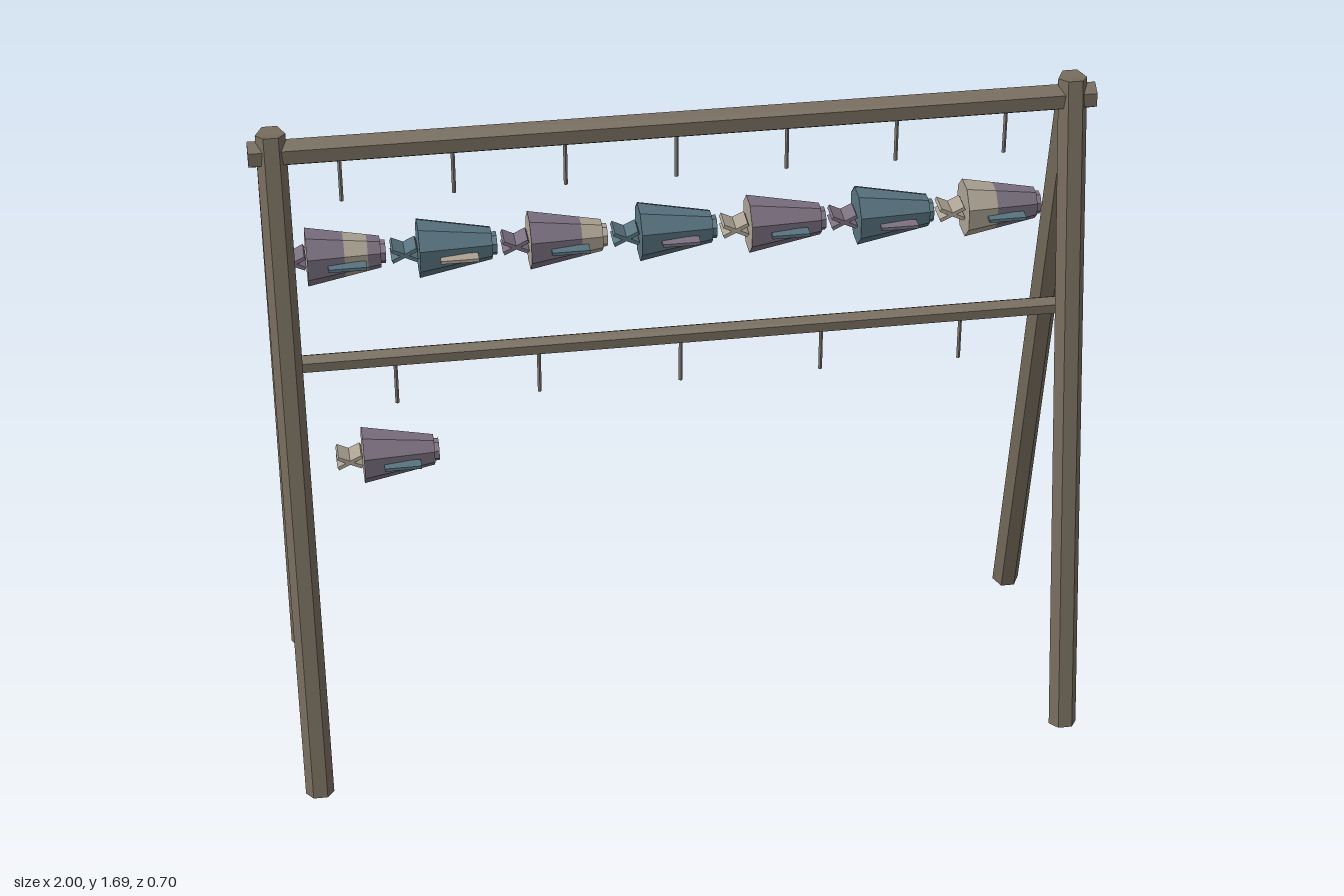
import * as THREE from 'three';

const mat = (name, color, extra = {}) => {
  const m = new THREE.MeshStandardMaterial({ color, flatShading: true, ...extra });
  m.name = name;
  return m;
};

export function createModel() {
  const wood = mat('weathered wood', 0x766c5d);
  const cord = mat('cord', 0x827b73);
  const purple = mat('dusky purple', 0x7b7080);
  const teal = mat('slate teal', 0x58737f);
  const paleBlue = mat('pale blue', 0x9db5bf, { side: THREE.DoubleSide });
  const beige = mat('pale beige', 0xaba293);

  const rack = new THREE.Group();
  rack.name = 'dryingRack';

  const add = (parent, name, geo, material, x = 0, y = 0, z = 0) => {
    const m = new THREE.Mesh(geo, material);
    m.name = name;
    m.position.set(x, y, z);
    parent.add(m);
    return m;
  };

  // Hexagonal legs with a ridge facing outward, crossing in pairs at the top
  const spread = 0.319, rise = 1.68;
  const legGeo = new THREE.CylinderGeometry(0.035, 0.035, Math.hypot(spread, rise), 6).rotateY(Math.PI / 6);
  for (const x of [-0.945, 0.945]) {
    for (const s of [-1, 1]) {
      const leg = add(rack, 'leg', legGeo, wood, x, 0.006 + rise / 2, s * spread / 2);
      leg.rotation.x = -s * Math.atan2(spread, rise);
    }
  }

  // Horizontal poles with a corner pointing up
  const pole = (name, r, length, y) => {
    const g = new THREE.CylinderGeometry(r, r, length, 6).rotateY(Math.PI / 6).rotateZ(Math.PI / 2);
    add(rack, name, g, wood, 0, y, 0);
  };
  pole('topPole', 0.034, 2, 1.638);
  pole('lowerPole', 0.024, 1.9, 1.06);

  // Hanging cords
  const hang = (x, low, high) =>
    add(rack, 'cord', new THREE.CylinderGeometry(0.005, 0.005, high - low, 5), cord, x, (low + high) / 2, 0);

  // Tapered eight-sided frustum along x, wide at the tail side
  const BACK = -0.093, FRONT = 0.081;
  const radiusAt = x => THREE.MathUtils.lerp(0.07, 0.038, (x - BACK) / (FRONT - BACK));
  const section = (x0, x1) =>
    new THREE.CylinderGeometry(radiusAt(x1), radiusAt(x0), x1 - x0, 8)
      .rotateY(Math.PI / 8).rotateZ(-Math.PI / 2).translate((x0 + x1) / 2, 0, 0);

  // Thin facing over the upper back side of a body
  const panelGeo = new THREE.CylinderGeometry(
    radiusAt(FRONT) + 0.002, radiusAt(BACK) + 0.002, FRONT - BACK, 1, 1, true, Math.PI * 9 / 8, Math.PI / 4
  ).rotateZ(-Math.PI / 2).translate((BACK + FRONT) / 2, 0, 0);

  // A fish: body sections, snout, side fin and crossed tail
  const addFish = (x, y, { cuts, tail, fin, rump, back }) => {
    const fish = new THREE.Group();
    fish.name = 'fish';
    fish.position.set(x, y, 0);
    rack.add(fish);
    let start = BACK;
    for (const [end, material] of cuts) {
      add(fish, 'body', section(start, end), [material, material, rump]);
      start = end;
    }
    if (back) add(fish, 'backPanel', panelGeo, back);
    const snout = new THREE.CylinderGeometry(0.028, 0.028, 0.014, 8).rotateY(Math.PI / 8).rotateZ(-Math.PI / 2);
    add(fish, 'snout', snout, [cuts[cuts.length - 1][1], beige, beige], FRONT + 0.005);
    add(fish, 'sideFin', new THREE.BoxGeometry(0.09, 0.008, 0.03), fin, 0, 0, 0.06);
    for (const s of [-1, 1]) {
      const t = add(fish, 'tailFin', new THREE.BoxGeometry(0.066, 0.009, 0.06), tail, BACK - 0.033);
      t.rotation.z = s * 0.46;
    }
  };

  const tealFish = (tail, fin) => ({ cuts: [[FRONT, teal]], tail, fin, rump: teal, back: paleBlue });
  const purpleFish = (cuts, tail) => ({ cuts, tail, fin: teal, rump: beige });
  const upper = [
    purpleFish([[-0.005, purple], [0.05, beige], [FRONT, purple]], purple),
    tealFish(teal, beige),
    purpleFish([[0.03, purple], [FRONT, beige]], purple),
    tealFish(teal, purple),
    purpleFish([[FRONT, purple]], beige),
    tealFish(purple, purple),
    purpleFish([[-0.02, beige], [FRONT, purple]], beige),
  ];
  upper.forEach((spec, i) => {
    const x = (i - 3) * 0.263;
    hang(x - 0.002, 1.5, 1.62);
    addFish(x, 1.355, spec);
  });

  // Lower row: five cords, one fish
  for (let i = 0; i < 5; i++) hang(0.008 + (i - 2) * 0.347, 0.93, 1.05);
  addFish(-0.684, 0.785, purpleFish([[FRONT, purple]], beige));

  return rack;
}
